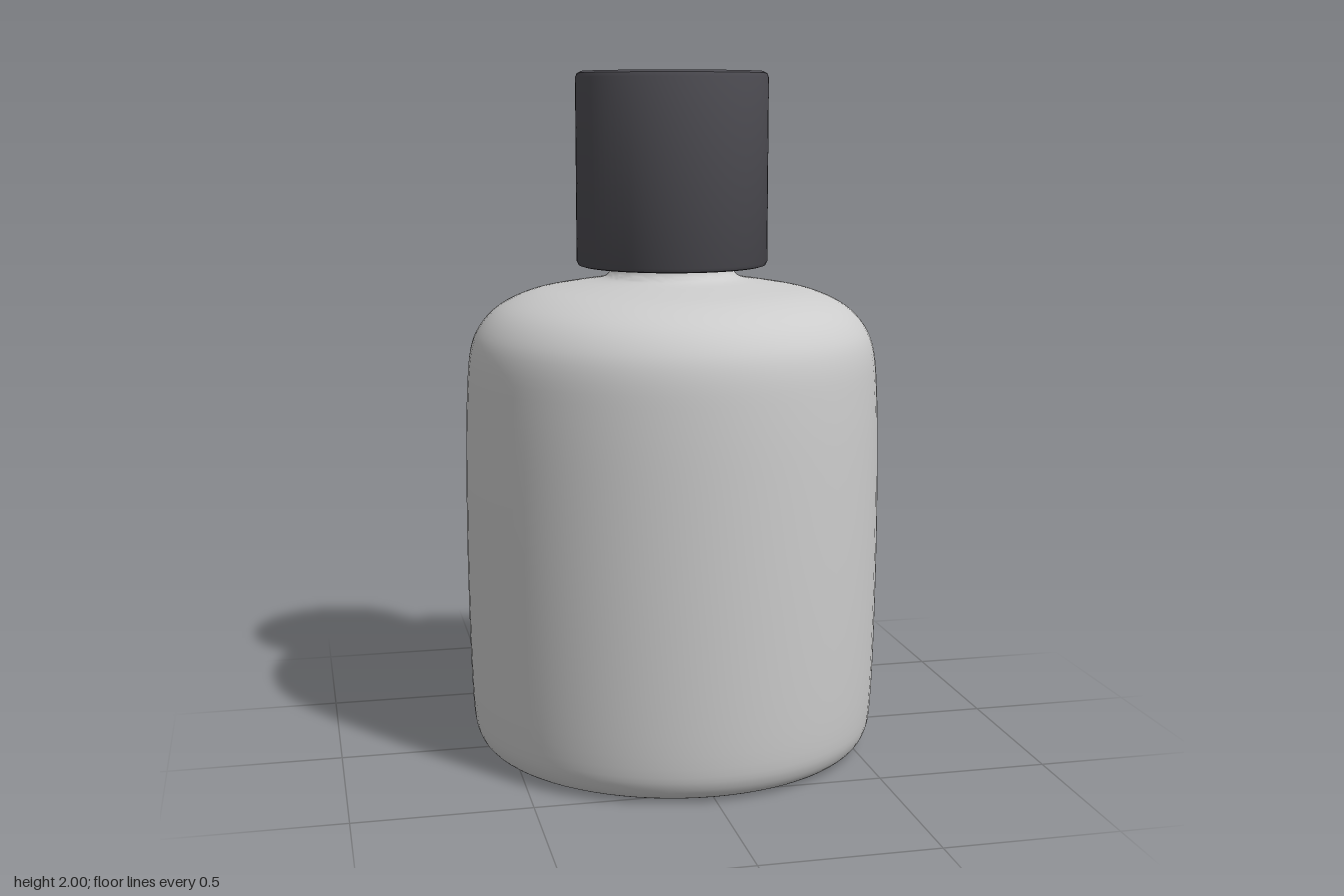
import * as THREE from 'three';
import { toCreasedNormals } from 'three/addons/utils/BufferGeometryUtils.js';

const vectors = (pairs) => pairs.map(([r, y]) => new THREE.Vector2(r, y));

function lathePart(name, points, color) {
  const geometry = toCreasedNormals(new THREE.LatheGeometry(points, 80), 0.6);
  const mesh = new THREE.Mesh(geometry, new THREE.MeshStandardMaterial({ color }));
  mesh.name = name;
  return mesh;
}

export function createModel() {
  const group = new THREE.Group();
  group.name = 'bottle';

  // Rounded bottle wall, from the base edge over the shoulder to the neck
  const wall = new THREE.SplineCurve(vectors([
    [0.52, 0], [0.56, 0.012], [0.588, 0.045], [0.602, 0.11], [0.61, 0.3],
    [0.614, 0.6], [0.612, 0.9], [0.606, 1.08], [0.595, 1.195], [0.567, 1.265],
    [0.51, 1.323], [0.42, 1.364], [0.31, 1.386], [0.215, 1.402], [0.185, 1.42], [0.175, 1.45],
  ])).getPoints(60);
  group.add(lathePart('bottleBody', [
    new THREE.Vector2(0, 0), ...wall, ...vectors([[0.175, 1.5], [0, 1.5]]),
  ], 0xcccccc));

  // Plain cylindrical cap with narrow rounded rims
  group.add(lathePart('cap', vectors([
    [0, 1.44], [0.265, 1.44], [0.275, 1.443], [0.28, 1.453],
    [0.28, 1.982], [0.275, 1.994], [0.263, 2], [0, 2],
  ]), 0x4b4a50));

  return group;
}
